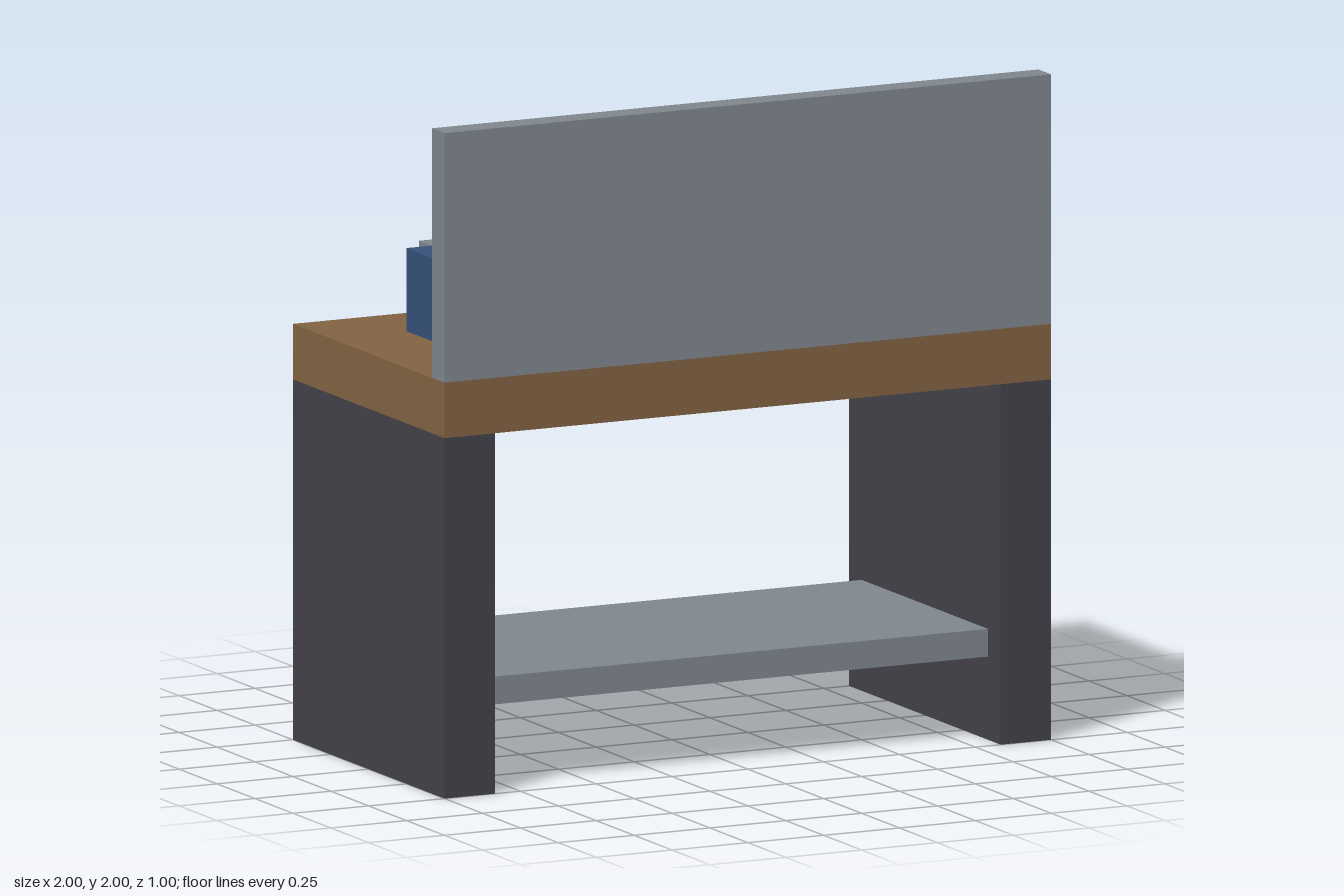
import * as THREE from 'three';

// The bench is laid out on a grid of 24 x 24 x 12 cells.
const U = 1 / 12;

const material = (name, color) => {
  const m = new THREE.MeshStandardMaterial({ color });
  m.name = name;
  return m;
};

export function createModel() {
  const wood = material('wood', 0x826342);
  const steel = material('steel', 0x7f878e);
  const darkMetal = material('darkMetal', 0x43424b);
  const lightMetal = material('lightMetal', 0xaaaeb2);
  const red = material('red', 0xa63535);
  const blue = material('blue', 0x365178);
  const black = material('black', 0x24242c);

  // Box given by its low and high grid corners
  const box = (name, mat, x0, x1, y0, y1, z0, z1) => {
    const mesh = new THREE.Mesh(
      new THREE.BoxGeometry((x1 - x0) * U, (y1 - y0) * U, (z1 - z0) * U), mat);
    mesh.position.set((x0 + x1) / 2 * U, (y0 + y1) / 2 * U, (z0 + z1) / 2 * U);
    mesh.name = name;
    return mesh;
  };
  const group = (name, ...parts) => {
    const g = new THREE.Group();
    g.name = name;
    return g.add(...parts);
  };

  // Bench frame
  const bench = group('bench',
    box('rightLeg', darkMetal, -12, -10, 0, 13, -6, 6),
    box('leftLeg', darkMetal, 10, 12, 0, 13, -6, 6),
    box('shelf', steel, -10, 10, 3, 4, -5, 5),
    box('worktop', wood, -12, 12, 13, 15, -6, 6),
    box('toolBoard', steel, -12, 12, 15, 24, 5, 6));

  // Objects on the worktop
  const toolbox = group('toolbox',
    box('toolboxBody', red, 1, 9, 15, 19, -3, 2),
    box('toolboxHandle', black, 3, 7, 19, 20, -1, 0));
  const vise = group('vise',
    box('viseBody', blue, -9, -5, 15, 18, -3, 1),
    box('viseJaw', steel, -8, -6, 17, 18, -4, -3));

  // Tools hanging on the board
  const saw = group('saw',
    box('sawHandle', blue, 7, 10, 17, 22, 4, 5),
    box('sawBlade', lightMetal, 0, 7, 18, 21, 4, 5));
  const wrench = group('wrench',
    box('wrenchShaft', lightMetal, -4, -3, 16, 21, 4, 5),
    box('wrenchHead', lightMetal, -5, -2, 21, 22, 4, 5),
    ...[-5, -3].map(x => box('wrenchProng', lightMetal, x, x + 1, 22, 23, 4, 5)));
  const hammer = group('hammer',
    box('hammerHandle', wood, -9, -8, 17, 21, 4, 5),
    box('hammerHead', darkMetal, -10, -7, 21, 23, 4, 5));

  return group('workbench', bench, toolbox, vise, saw, wrench, hammer);
}
